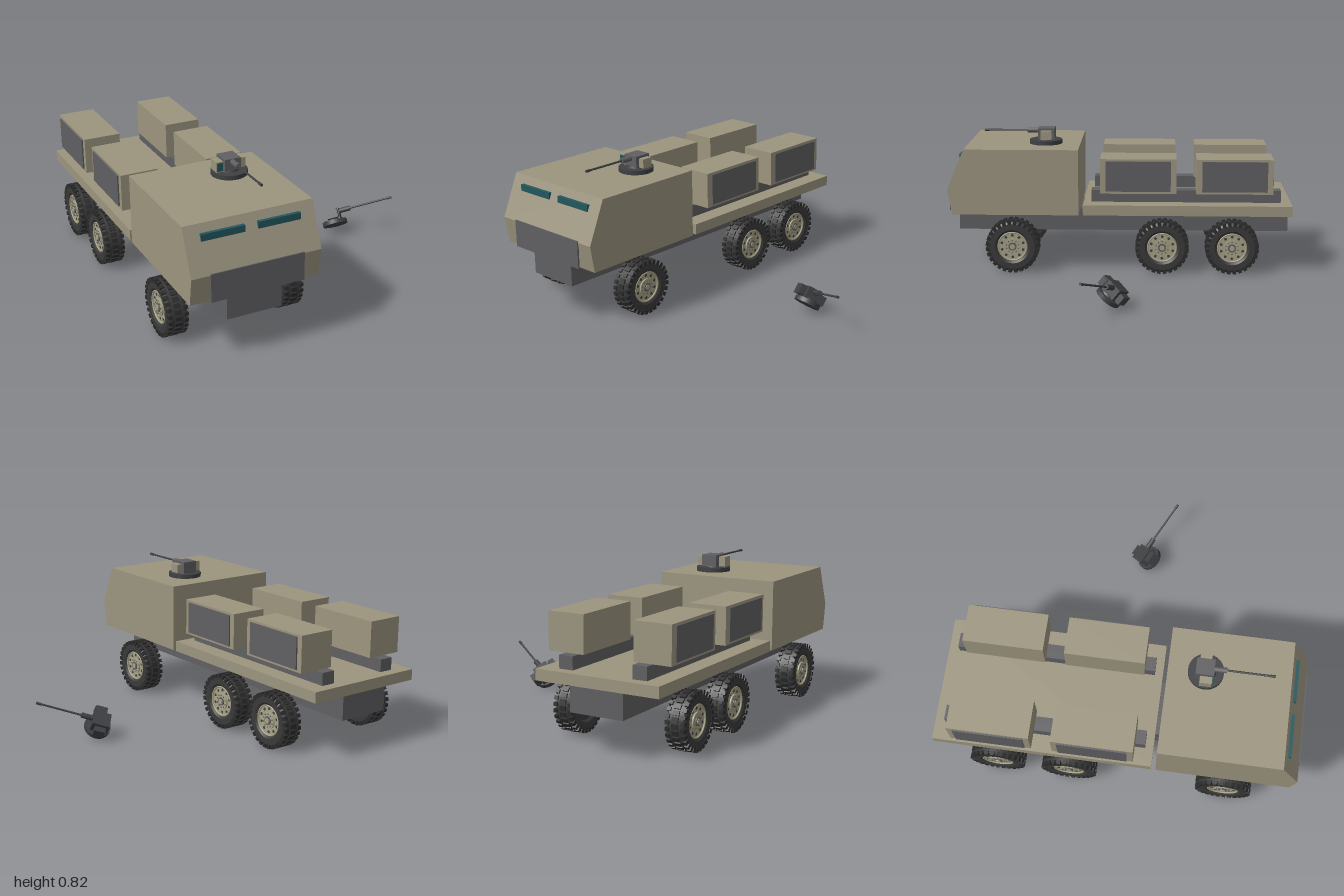
import * as THREE from 'three';
import { toCreasedNormals } from 'three/addons/utils/BufferGeometryUtils.js';

const mat = (name, color) => {
  const m = new THREE.MeshStandardMaterial({ color });
  m.name = name;
  return m;
};

export function createModel() {
  const M = {
    tan: mat('tanPaint', 0x9c957f),
    rim: mat('rimPaint', 0xa8a286),
    grey: mat('greyMetal', 0x606063),
    dark: mat('darkMetal', 0x3f4043),
    tyre: mat('rubber', 0x3a3a3b),
    lug: mat('treadRubber', 0x2c2c2d),
    glass: mat('tealGlass', 0x22585e),
  };
  const model = new THREE.Group();
  model.name = 'truckWithWeaponStations';

  const add = (parent, name, geo, m) => {
    const mesh = new THREE.Mesh(geo, m);
    mesh.name = name;
    parent.add(mesh);
    return mesh;
  };
  // Box given by its limits on each axis
  const box = (parent, name, m, [x0, x1], [y0, y1], [z0, z1]) => {
    const mesh = add(parent, name, new THREE.BoxGeometry(x1 - x0, y1 - y0, z1 - z0), m);
    mesh.position.set((x0 + x1) / 2, (y0 + y1) / 2, (z0 + z1) / 2);
    return mesh;
  };
  // Cylinder along the z axis between two depths
  const rodZ = (parent, name, m, r, y, z0, z1) => {
    const geo = new THREE.CylinderGeometry(r, r, z1 - z0, 12).rotateX(Math.PI / 2);
    add(parent, name, geo, m).position.set(0, y, (z0 + z1) / 2);
  };

  const CX = -0.47; // centre line of the truck

  // Chassis and load deck
  box(model, 'chassis', M.grey, [-0.62, -0.32], [0.205, 0.34], [-0.995, 0.96]);
  box(model, 'deck', M.tan, [-0.82, -0.12], [0.34, 0.4], [-1, 0.21]);

  // Cab, a side profile extruded across the truck
  const profile = new THREE.Shape([
    [0.235, 0.34], [0.97, 0.34], [0.995, 0.49], [0.895, 0.723], [0.235, 0.723],
  ].map(([z, y]) => new THREE.Vector2(z, y)));
  const cab = new THREE.ExtrudeGeometry(profile, { depth: 0.7, bevelEnabled: false });
  cab.rotateY(-Math.PI / 2).translate(-0.12, 0, 0);
  add(model, 'cab', cab, M.tan);
  box(model, 'frontPlate', M.grey, [-0.72, -0.215], [0.345, 0.497], [0.99, 0.999]);
  for (const [x0, x1] of [[-0.737, -0.505], [-0.435, -0.203]])
    box(model, 'window', M.glass, [x0, x1], [0.644, 0.68], [0.905, 0.932]);

  // Rails, and cargo boxes with a panel on their outer side
  for (const s of [-1, 1]) {
    const span = (a, b) => [CX + s * a, CX + s * b].sort((p, q) => p - q);
    box(model, 'rail', M.grey, span(0.17, 0.25), [0.4, 0.47], [-0.94, 0.165]);
    for (const z of [-0.11, -0.665]) {
      box(model, 'cargoBox', M.tan, span(0.142, 0.35), [0.47, 0.672], [z - 0.22, z + 0.22]);
      box(model, 'cargoPanel', M.grey, span(0.349, 0.358), [0.484, 0.66], [z - 0.187, z + 0.187]);
    }
  }

  // Wheel, its axis along x and its outer face towards +x
  const turn = (geo) => geo.rotateZ(-Math.PI / 2);
  const disc = (r, h, n = 32) => turn(new THREE.CylinderGeometry(r, r, h, n));
  const tyreGeo = toCreasedNormals(turn(new THREE.LatheGeometry([
    [0, -0.04], [0.088, -0.04], [0.1, -0.052], [0.133, -0.052], [0.147, -0.042],
    [0.147, 0.042], [0.133, 0.052], [0.1, 0.052], [0.088, 0.044], [0.086, 0.02],
  ].map(([r, h]) => new THREE.Vector2(r, h)), 40)), 0.5);
  const blockGeo = new THREE.BoxGeometry(0.034, 0.012, 0.024);
  const shoulderGeo = new THREE.BoxGeometry(0.022, 0.024, 0.02);

  const makeWheel = () => {
    const wheel = new THREE.Group();
    wheel.name = 'wheel';
    add(wheel, 'tyre', tyreGeo, M.tyre);
    // Tread: a central row and two offset shoulder rows
    const count = 28;
    for (let i = 0; i < count; i++) {
      for (const row of [-1, 0, 1]) {
        const a = ((i + (row ? 0.5 : 0)) / count) * Math.PI * 2;
        const r = row ? 0.143 : 0.149;
        const lug = add(wheel, 'treadBlock', row ? shoulderGeo : blockGeo, M.lug);
        lug.position.set(row * 0.0435, Math.cos(a) * r, Math.sin(a) * r);
        lug.rotation.x = a;
      }
    }
    // Rim with a raised lip, holes, hub and bolts
    add(wheel, 'rimDisc', disc(0.086, 0.02), M.rim).position.x = 0.026;
    const lip = new THREE.TorusGeometry(0.083, 0.005, 8, 36).rotateY(Math.PI / 2);
    add(wheel, 'rimLip', lip, M.rim).position.x = 0.042;
    for (let i = 0; i < 10; i++) {
      const a = (i / 10) * Math.PI * 2;
      const at = (r, x) => [x, Math.cos(a) * r, Math.sin(a) * r];
      add(wheel, 'rimHole', disc(0.008, 0.004, 12), M.dark).position.set(...at(0.065, 0.036));
      add(wheel, 'bolt', disc(0.004, 0.006, 6), M.grey).position.set(...at(0.036, 0.044));
    }
    add(wheel, 'hub', disc(0.046, 0.012), M.rim).position.x = 0.038;
    add(wheel, 'hubRing', disc(0.024, 0.016, 20), M.grey).position.x = 0.041;
    add(wheel, 'hubCap', disc(0.015, 0.02, 16), M.rim).position.x = 0.043;
    return wheel;
  };
  for (const z of [0.62, -0.25, -0.655])
    for (const s of [-1, 1]) {
      const wheel = makeWheel();
      wheel.position.set(CX + s * 0.325, 0.156, z);
      if (s < 0) wheel.rotation.y = Math.PI;
      model.add(wheel);
    }

  // Weapon station standing on y = 0 and pointing to +z
  const makeStation = (name, baseRadius, bodyMat, podMat, sightMat) => {
    const g = new THREE.Group();
    g.name = name;
    const ring = new THREE.CylinderGeometry(baseRadius, baseRadius, 0.024, 36);
    add(g, 'baseRing', ring, M.dark).position.y = 0.012;
    const neck = new THREE.CylinderGeometry(0.05, 0.055, 0.012, 24);
    add(g, 'neck', neck, M.dark).position.y = 0.028;
    box(g, 'body', bodyMat, [-0.044, 0.046], [0.028, 0.094], [-0.055, 0.042]);
    rodZ(g, 'mantlet', bodyMat, 0.015, 0.077, 0.04, 0.108);
    rodZ(g, 'barrel', M.dark, 0.0055, 0.077, 0.1, 0.36);
    rodZ(g, 'muzzle', M.dark, 0.0075, 0.077, 0.335, 0.362);
    box(g, 'rightPod', podMat, [-0.088, -0.05], [0.03, 0.086], [-0.03, 0.035]);
    box(g, 'sightGlass', sightMat, [-0.084, -0.054], [0.036, 0.08], [0.034, 0.039]);
    box(g, 'leftPod', podMat, [0.05, 0.082], [0.03, 0.082], [-0.038, 0.024]);
    box(g, 'podArm', M.dark, [-0.06, 0.06], [0.04, 0.06], [-0.02, 0.012]);
    return g;
  };

  const roofStation = makeStation('roofStation', 0.096, M.grey, M.tan, M.glass);
  roofStation.position.set(-0.35, 0.725, 0.438);
  model.add(roofStation);

  // Separate station lying tilted beside the truck
  const loose = makeStation('looseStation', 0.073, M.dark, M.dark, M.dark);
  const aim = new THREE.Vector3(0.825, 0.305, 0.475).normalize();
  const side = new THREE.Vector3(0.06, 0.78, -0.62).cross(aim).normalize();
  const up = aim.clone().cross(side);
  loose.quaternion.setFromRotationMatrix(new THREE.Matrix4().makeBasis(side, up, aim));
  loose.position.set(0.543, 0.049, 0.04);
  model.add(loose);

  return model;
}
